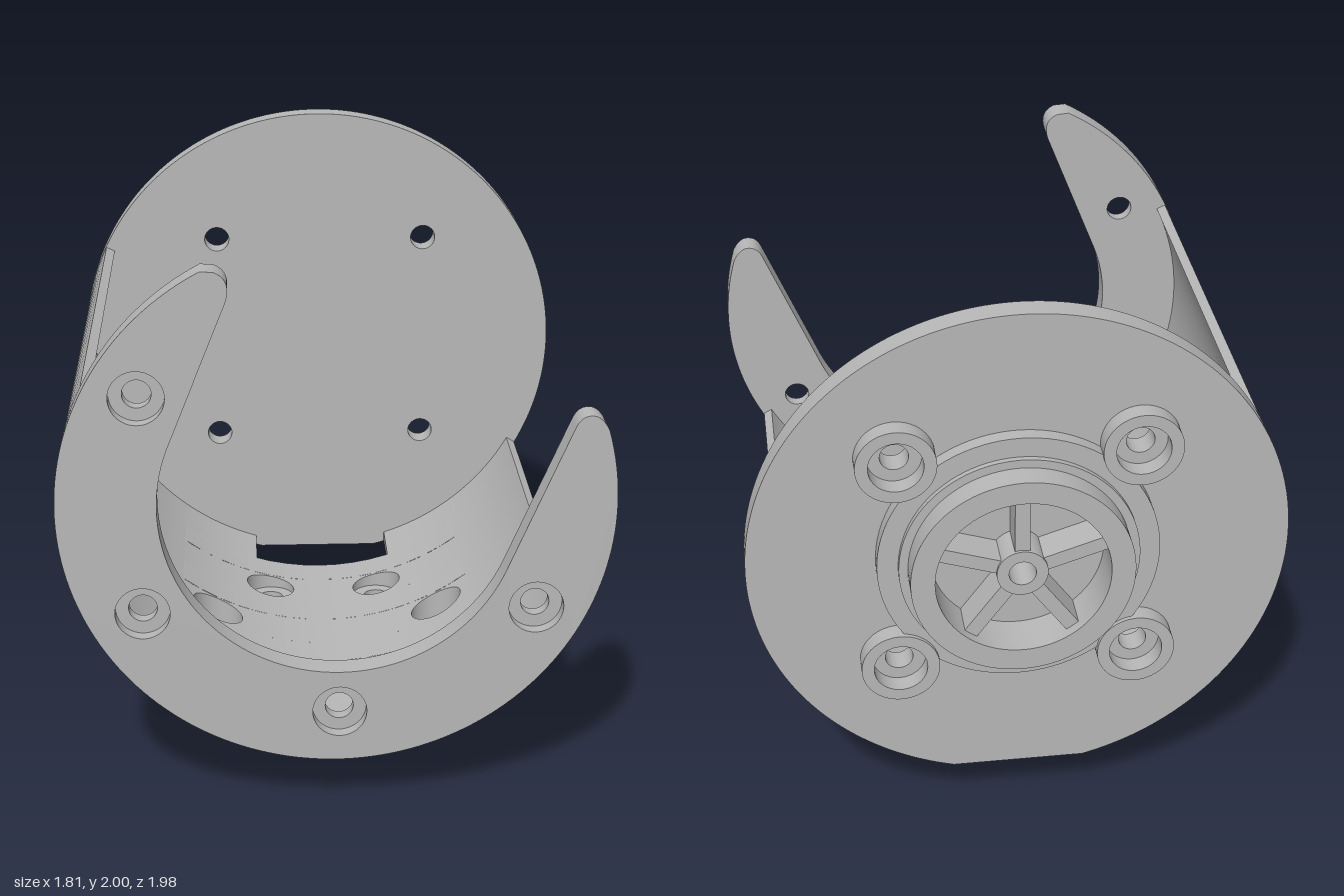
import * as THREE from 'three';
import { toCreasedNormals } from 'three/addons/utils/BufferGeometryUtils.js';

const CY = 1.093, R = 0.907, RO = 0.905, RI = 0.87; // barrel axis height and radii
const OX = 0.01, FY = 1.1;                          // centre of the bolt patterns
const BORE = 0.09, HOLE = 0.047;

export function createModel() {
  const model = new THREE.Group();
  const grey = new THREE.MeshStandardMaterial({ color: 0xb8b8b8, side: THREE.DoubleSide });
  grey.name = 'grey';

  const add = (name, geo, parent = model) => {
    const mesh = new THREE.Mesh(geo, grey);
    mesh.name = name;
    parent.add(mesh);
    return mesh;
  };
  const group = (name) => {
    const g = new THREE.Group();
    g.name = name;
    model.add(g);
    return g;
  };

  // Surface from a rule f(u, v) -> [x, y, z]
  const grid = (nu, nv, f) => {
    const pos = [], idx = [];
    for (let j = 0; j <= nv; j++) for (let i = 0; i <= nu; i++) pos.push(...f(i / nu, j / nv));
    for (let j = 0; j < nv; j++) for (let i = 0; i < nu; i++) {
      const a = j * (nu + 1) + i, b = a + nu + 1;
      idx.push(a, a + 1, b + 1, a, b + 1, b);
    }
    const g = new THREE.BufferGeometry();
    g.setAttribute('position', new THREE.Float32BufferAttribute(pos, 3));
    g.setIndex(idx);
    return toCreasedNormals(g, 0.6);
  };

  const circle = (x, y, r) => new THREE.Shape().absarc(x, y, r, 0, Math.PI * 2, false);
  const punch = (shape, centres, r) => {
    centres.forEach(([x, y]) => shape.holes.push(circle(x, y, r)));
    return shape;
  };
  const extrude = (shape, z0, z1, curveSegments = 48) => toCreasedNormals(
    new THREE.ExtrudeGeometry(shape, { depth: z1 - z0, bevelEnabled: false, curveSegments })
      .translate(0, 0, z0), 0.6);
  const lerp = THREE.MathUtils.lerp;
  const floorY = (x, r) => CY - Math.sqrt(r * r - x * x);

  // Back plate: disc with a flat at the bottom and four bolt holes
  const backBolts = [[-0.39, 1.51], [0.41, 1.51], [-0.39, 0.71], [0.41, 0.71]];
  const flat = Math.acos((CY - 0.215) / R);
  const disc = new THREE.Shape().absarc(0, CY, R, -Math.PI / 2 + flat, Math.PI * 1.5 - flat, false);
  disc.closePath();
  add('backPlate', extrude(punch(disc, backBolts, HOLE), -0.83, -0.745, 96));

  // Front plate: open crescent in two layers, so the bolt holes are counterbored
  const frontBolts = [[-0.635, 1.48], [-0.635, 0.735], [0.655, 0.735], [OX, 0.365]];
  const crescent = () => {
    const s = new THREE.Shape();
    const a0 = Math.PI - Math.asin(0.8 / R), a1 = Math.PI * 2 + Math.asin(0.26 / R);
    s.absarc(0, CY, R, a0, a1, false);
    s.quadraticCurveTo(0.84, 1.41, 0.8, 1.4);
    s.quadraticCurveTo(0.775, 1.395, 0.76, 1.36);
    const t = THREE.MathUtils.degToRad(-23);
    s.lineTo(OX + 0.59 * Math.cos(t), FY + 0.59 * Math.sin(t));
    s.absarc(OX, FY, 0.59, t, t - Math.PI, true);
    s.lineTo(-0.35, 1.79);
    s.quadraticCurveTo(-0.325, 1.865, -0.385, 1.89);
    s.closePath();
    return s;
  };
  const front = group('frontPlate');
  add('frontPlateInner', extrude(punch(crescent(), frontBolts, HOLE), 0.9, 0.945, 64), front);
  add('frontPlateOuter', extrude(punch(crescent(), frontBolts, BORE), 0.945, 0.99, 64), front);

  // Barrel wall: steep sides swept by angle, floor laid out in rows with holes
  const barrel = group('barrel');
  const Z0 = -0.745, Z1 = 0.9, FX = 0.53;
  const ends = [-115.5, 61].map(THREE.MathUtils.degToRad);
  const at = (a, r, z) => [r * Math.sin(a), CY - r * Math.cos(a), z];
  const rows = [
    { z: [Z0, -0.52], slot: true },
    { z: [-0.52, -0.38] },
    { z: [-0.38, -0.18], holes: [-0.2, 0.21] },
    { z: [-0.18, -0.02] },
    { z: [-0.02, 0.18], holes: [-0.4, 0.41] },
    { z: [0.18, 0.33] },
    { z: [0.33, 0.53], holes: [-0.2, 0.21] },
    { z: [0.53, Z1] },
  ];
  for (const r of [RI, RO]) {
    for (const end of ends) {
      const start = Math.sign(end) * Math.asin(FX / r);
      add('barrelSide', grid(32, 1, (u, v) => at(lerp(start, end, u), r, lerp(Z0, Z1, v))), barrel);
    }
    for (const { z: [za, zb], holes = [], slot } of rows) {
      const half = 0.1, cuts = [-FX];
      holes.forEach((x) => cuts.push(x - half, x + half));
      if (slot) cuts.push(-0.25, 0.27);
      cuts.push(FX);
      // Even cells are plain, odd cells are open
      for (let i = 0; i < cuts.length - 1; i += 2) {
        add('barrelFloor', grid(16, 1, (u, v) => {
          const x = lerp(cuts[i], cuts[i + 1], u);
          return [x, floorY(x, r), lerp(za, zb, v)];
        }), barrel);
      }
      // Square patch around each round hole
      for (const hx of holes) {
        add('barrelFloorHole', grid(48, 3, (u, v) => {
          const c = Math.cos(u * Math.PI * 2), s = Math.sin(u * Math.PI * 2);
          const k = lerp(BORE, half / Math.max(Math.abs(c), Math.abs(s)), v);
          const x = hx + c * k;
          return [x, floorY(x, r), (za + zb) / 2 + s * k];
        }), barrel);
      }
    }
  }
  for (const end of ends) {
    add('barrelRim', grid(1, 1, (u, v) => at(end, lerp(RI, RO, u), lerp(Z0, Z1, v))), barrel);
  }
  // Slot edges
  for (const x of [-0.25, 0.27]) {
    add('slotSide', grid(1, 1, (u, v) => [x, floorY(x, u ? RO : RI), lerp(Z0, -0.52, v)]), barrel);
  }
  add('slotEnd', grid(12, 1, (u, v) => {
    const x = lerp(-0.25, 0.27, u);
    return [x, floorY(x, v ? RO : RI), -0.52];
  }), barrel);

  // Base: round foot with a flat at the back and six counterbored holes
  const base = group('base');
  const BZ = 0.08, BR = 0.593, flatZ = 0.53;
  const cut = Math.acos(flatZ / BR);
  const outline = (scale) => new THREE.Shape()
    .absarc(0, 0, BR * scale, Math.PI / 2 + cut, Math.PI * 2.5 - cut, false);
  const footHoles = [];
  rows.forEach(({ z, holes = [] }) => holes.forEach((x) => footHoles.push([x, (z[0] + z[1]) / 2])));
  const core = punch(outline(0.95), footHoles.map(([x, z]) => [x - OX, BZ - z]), HOLE);
  add('baseCore', extrude(core, 0, 0.2, 64).rotateX(-Math.PI / 2).translate(OX, 0, BZ), base);
  const skin = [[0.95, 0], [0.975, 0.006], [0.993, 0.018], [1, 0.035]];
  const onFoot = (u) => { // walks round the arc, then along the flat
    if (u <= 0.85) {
      const a = lerp(Math.PI / 2 + cut, Math.PI * 2.5 - cut, u / 0.85);
      return [BR * Math.cos(a), -BR * Math.sin(a)];
    }
    return [lerp(1, -1, (u - 0.85) / 0.15) * BR * Math.sin(cut), -flatZ];
  };
  add('baseWall', grid(120, 4, (u, v) => {
    const [x, z] = onFoot(u), row = Math.round(v * 4);
    const [k, y] = row < 4 ? skin[row] : [1, floorY(x + OX, 0.895)];
    return [OX + x * k, y, BZ + z * k];
  }), base);
  for (const [hx, hz] of footHoles) {
    add('counterbore', grid(48, 1, (u, v) => {
      const x = hx + BORE * Math.cos(u * Math.PI * 2);
      return [x, v ? floorY(x, RI) : 0.2, hz + BORE * Math.sin(u * Math.PI * 2)];
    }), base);
  }

  // Rear hub: stepped rings, screw bosses and a five-spoke centre
  const hub = group('rearHub');
  const HY = 1.11;
  const ring = (x, y, r, hole) => punch(circle(x, y, r), [[x, y]], hole);
  add('hubCollar', extrude(ring(OX, HY, 0.47, 0.29), -0.88, -0.83), hub);
  add('hubStep', extrude(ring(OX, HY, 0.4, 0.29), -0.9, -0.83), hub);
  add('hubRing', extrude(ring(OX, HY, 0.37, 0.29), -0.988, -0.83), hub);
  add('hubCentre', extrude(ring(OX, HY, 0.085, 0.045), -0.96, -0.83), hub);
  backBolts.forEach(([x, y]) => add('screwBoss', extrude(ring(x, y, 0.132, BORE), -0.895, -0.83), hub));
  for (let i = 0; i < 5; i++) {
    const spoke = new THREE.BoxGeometry(0.05, 0.23, 0.12).translate(0, 0.185, 0);
    add('hubSpoke', spoke.rotateZ(i * Math.PI * 0.4).translate(OX, HY, -0.89), hub);
  }
  return model;
}
